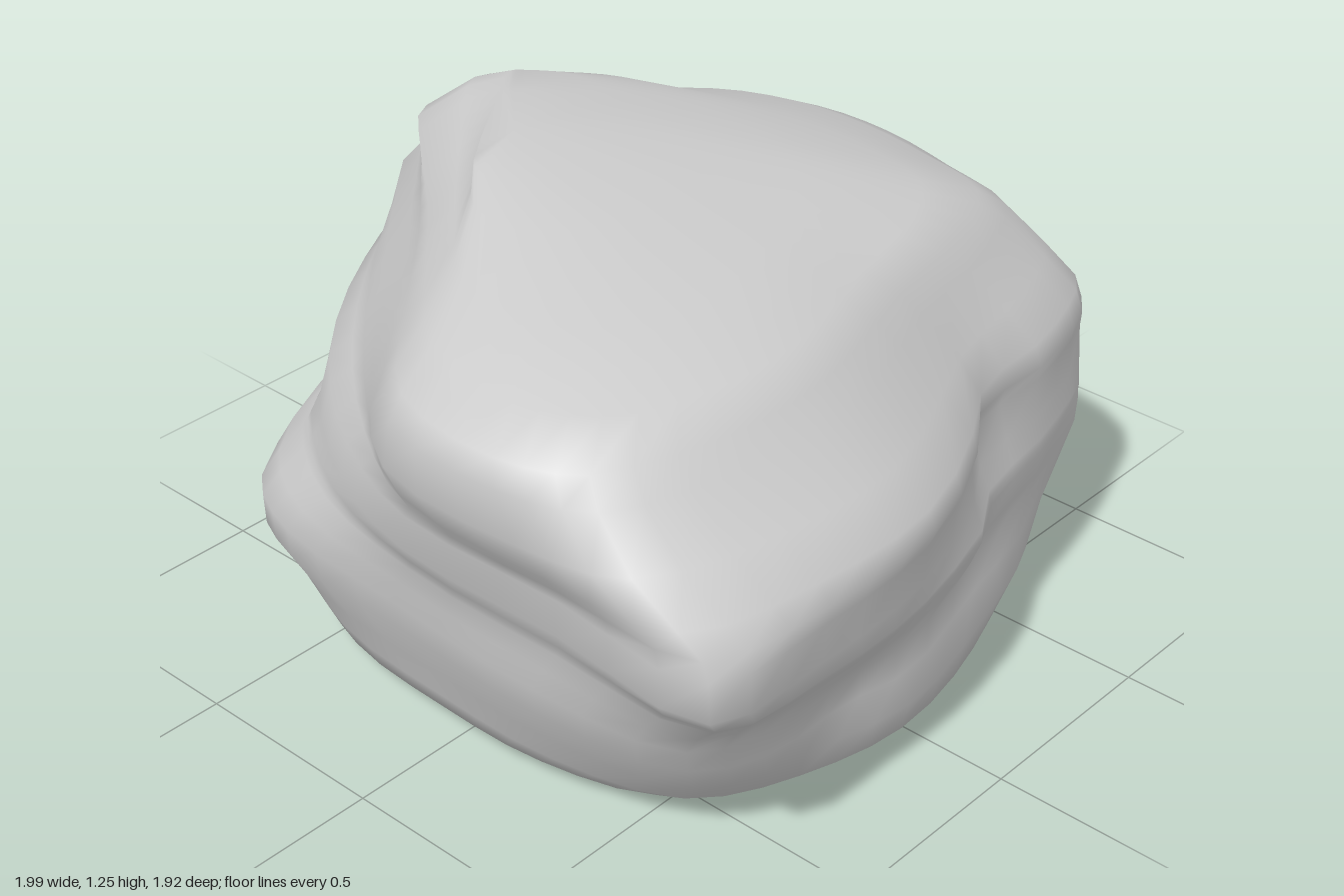
import * as THREE from 'three';

// Plan outlines as [x, z], clockwise from the back point
const BASE = [[0.15, -0.84], [0.36, -0.8], [0.55, -0.64], [0.65, -0.42], [0.66, -0.2], [0.61, 0.0], [0.56, 0.18], [0.5, 0.36], [0.38, 0.54],
  [0.15, 0.66], [-0.15, 0.71], [-0.4, 0.65], [-0.6, 0.52], [-0.69, 0.25], [-0.7, -0.05], [-0.67, -0.38], [-0.56, -0.6], [-0.2, -0.8]];
const LOWER = [[0.15, -0.94], [0.4, -0.92], [0.69, -0.74], [0.86, -0.48], [0.98, -0.16], [0.92, 0.08], [0.84, 0.34], [0.76, 0.6], [0.56, 0.69],
  [0.2, 0.76], [-0.2, 0.85], [-0.52, 0.83], [-0.75, 0.73], [-0.82, 0.35], [-0.8, -0.1], [-0.78, -0.5], [-0.68, -0.71], [-0.25, -0.9]];
const MIDDLE = [[0.12, -0.96], [0.4, -0.86], [0.66, -0.67], [0.86, -0.46], [0.95, -0.25], [0.95, 0.02], [0.87, 0.33], [0.78, 0.6], [0.56, 0.69],
  [0.2, 0.78], [-0.25, 0.93], [-0.6, 0.95], [-0.91, 0.92], [-0.9, 0.5], [-0.9, 0.05], [-0.8, -0.25], [-0.58, -0.56], [-0.2, -0.84]];
const UPPER = [[0.12, -0.95], [0.35, -0.8], [0.6, -0.64], [0.83, -0.48], [0.93, -0.22], [0.93, 0.05], [0.86, 0.32], [0.78, 0.58], [0.56, 0.69],
  [0.2, 0.78], [-0.25, 0.95], [-0.6, 0.93], [-0.92, 0.8], [-1, 0.55], [-0.98, 0.14], [-0.74, -0.15], [-0.42, -0.46], [-0.12, -0.76]];
const TOP = [[0.12, -0.85], [0.35, -0.72], [0.58, -0.56], [0.76, -0.38], [0.85, -0.15], [0.87, 0.08], [0.85, 0.34], [0.78, 0.59], [0.56, 0.72],
  [0.2, 0.81], [-0.25, 0.93], [-0.6, 0.92], [-0.9, 0.8], [-1, 0.58], [-0.94, 0.22], [-0.66, -0.08], [-0.36, -0.37], [-0.1, -0.66]];
const CROWN = [[0.08, -0.56], [0.11, -0.53], [0.14, -0.49], [0.16, -0.43], [0.16, -0.36], [0.14, -0.28], [0.12, -0.2], [0.08, -0.1], [0.02, -0.02],
  [-0.08, 0.06], [-0.2, 0.1], [-0.32, 0.12], [-0.42, 0.08], [-0.48, -0.02], [-0.46, -0.14], [-0.36, -0.24], [-0.22, -0.36], [-0.06, -0.47]];

// Layers: height, outline blend (0 base to 5 crown), x range, z range
const LAYERS = [
  [0.015, 0, -0.45, 0.3, -0.6, 0.45],
  [0.05, 0, -0.70, 0.63, -0.84, 0.70],
  [0.1, 0.15, -0.72, 0.83, -0.90, 0.80],
  [0.2, 0.5, -0.76, 0.90, -0.90, 0.84],
  [0.3, 0.85, -0.80, 0.92, -0.93, 0.85],
  [0.38, 1.1, -0.82, 0.98, -0.94, 0.85],
  [0.45, 1.3, -0.83, 1.00, -0.94, 0.88],
  [0.52, 1.6, -0.85, 0.98, -0.95, 0.92],
  [0.54, 1.68, -0.86, 0.97, -0.95, 0.93],
  [0.56, 1.76, -0.87, 0.97, -0.96, 0.94],
  [0.62, 1.95, -0.91, 0.97, -0.96, 0.95],
  [0.72, 2.1, -0.92, 0.95, -0.96, 0.96],
  [0.76, 2.35, -0.93, 0.94, -0.95, 0.97],
  [0.82, 2.6, -0.97, 0.92, -0.94, 0.96],
  [0.9, 2.9, -1.00, 0.87, -0.91, 0.88],
  [1.0, 3.3, -0.99, 0.77, -0.80, 0.77],
  [1.06, 3.7, -0.97, 0.66, -0.74, 0.72],
  [1.12, 4, -0.86, 0.48, -0.72, 0.65],
  [1.17, 4.5, -0.68, 0.32, -0.67, 0.45],
  [1.21, 5, -0.48, 0.16, -0.57, 0.12],
  [1.24, 5, -0.38, 0.0, -0.45, -0.1],
];

// Hollows (positive) and bulges (negative): x, y, z, radius, depth
const DENTS = [
  [0.25, 0.72, 0.8, 0.22, 0.06], [0.05, 0.52, 0.85, 0.16, -0.03],
  [-0.35, 0.3, 0.85, 0.2, 0.04], [0.9, 0.2, -0.5, 0.2, 0.03],
  [0.93, 0.25, 0.2, 0.2, 0.03], [0.9, 0.78, 0.28, 0.16, 0.04],
];
const SEGMENTS = 54;

// Split running round the right and back sides only
function grooveDepth({ x, y, z }) {
  const facing = (0.55 * x - 0.83 * z) / Math.hypot(x, z);
  return 0.09 * Math.exp(-(((y - 0.54) / 0.02) ** 2)) * THREE.MathUtils.smoothstep(facing, 0.2, 0.6);
}

const sample = (outline) => new THREE.CatmullRomCurve3(
  outline.map(([x, z]) => new THREE.Vector3(x, 0, z)), true, 'centripetal',
).getPoints(SEGMENTS).slice(0, SEGMENTS);

// Move an outline into the given x and z ranges
function fit(ring, x0, x1, z0, z1) {
  const { min, max } = new THREE.Box3().setFromPoints(ring);
  return ring.map((p) => new THREE.Vector3(
    THREE.MathUtils.mapLinear(p.x, min.x, max.x, x0, x1), 0,
    THREE.MathUtils.mapLinear(p.z, min.z, max.z, z0, z1),
  ));
}

function makeRing([y, blend, ...range], outlines) {
  const k = Math.min(outlines.length - 2, Math.floor(blend));
  const next = fit(outlines[k + 1], ...range);
  const ring = fit(outlines[k], ...range).map((p, i) => p.lerp(next[i], blend - k));
  for (const p of ring) {
    p.y = y;
    let push = grooveDepth(p);
    for (const [dx, dy, dz, r, depth] of DENTS) {
      const d2 = (p.x - dx) ** 2 + (p.y - dy) ** 2 + (p.z - dz) ** 2;
      push += depth * Math.exp((-2 * d2) / (r * r));
    }
    const shrink = 1 - push / Math.max(0.3, Math.hypot(p.x, p.z));
    p.x *= shrink;
    p.z *= shrink;
  }
  return ring;
}

function rockGeometry() {
  const outlines = [BASE, LOWER, MIDDLE, UPPER, TOP, CROWN].map(sample);
  const points = LAYERS.flatMap((layer) => makeRing(layer, outlines));
  const index = [];
  for (let i = 0; i < LAYERS.length - 1; i++) {
    for (let j = 0; j < SEGMENTS; j++) {
      const a = i * SEGMENTS + j;
      const b = i * SEGMENTS + ((j + 1) % SEGMENTS);
      index.push(a, a + SEGMENTS, b, b, a + SEGMENTS, b + SEGMENTS);
    }
  }
  // Close the underside and the crown
  const top = (LAYERS.length - 1) * SEGMENTS;
  const base = points.push(new THREE.Vector3(-0.05, 0, -0.1)) - 1;
  const crown = points.push(new THREE.Vector3(-0.2, 1.25, -0.28)) - 1;
  for (let j = 0; j < SEGMENTS; j++) {
    const n = (j + 1) % SEGMENTS;
    index.push(base, j, n, crown, top + n, top + j);
  }
  const geometry = new THREE.BufferGeometry().setFromPoints(points);
  geometry.setIndex(index);
  geometry.computeVertexNormals();
  return geometry;
}

export function createModel() {
  const stone = new THREE.MeshStandardMaterial({ color: 0xcccccc });
  stone.name = 'stone grey';
  const rock = new THREE.Mesh(rockGeometry(), stone);
  rock.name = 'boulder';
  const group = new THREE.Group();
  group.name = 'rock';
  group.add(rock);
  return group;
}
